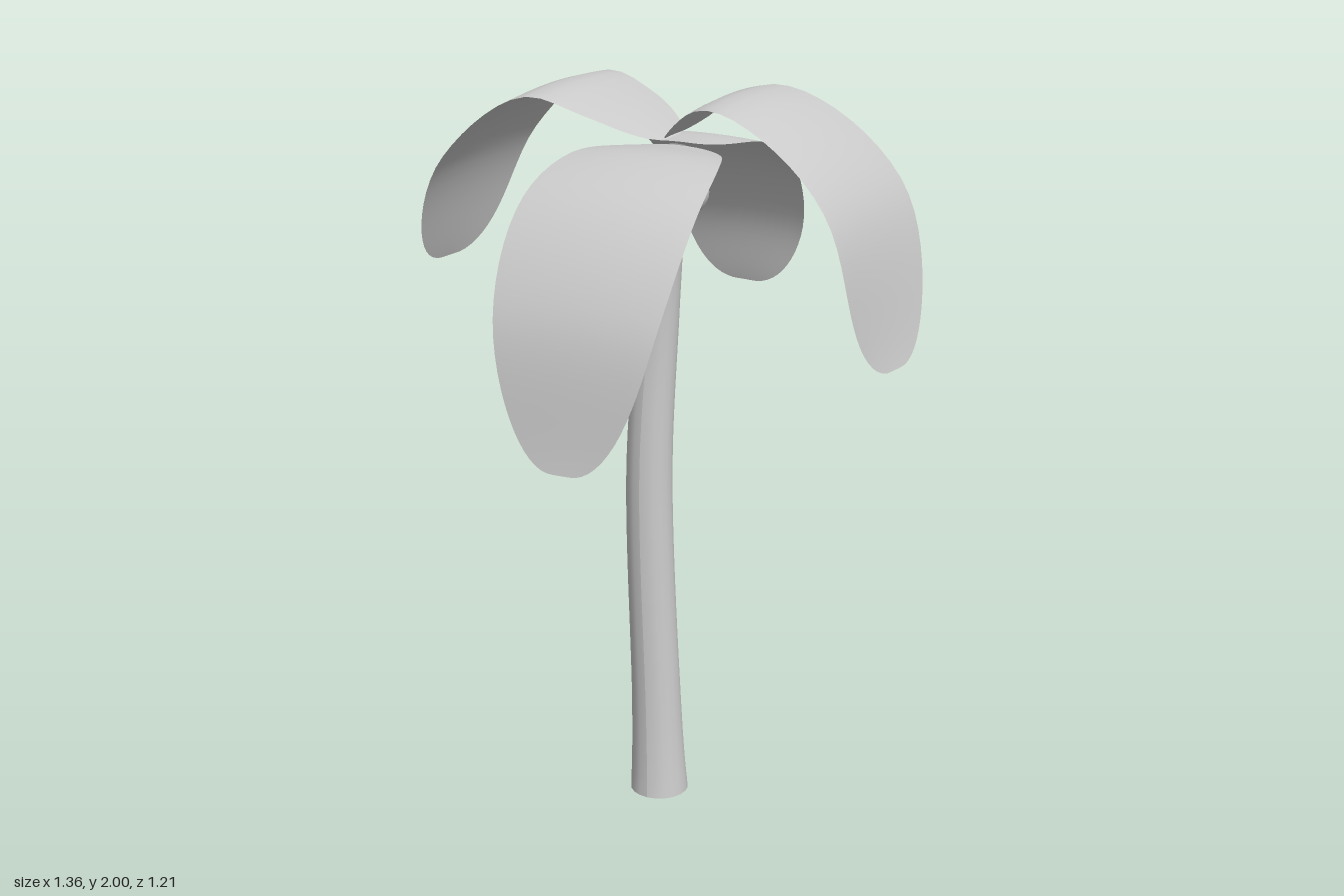
import * as THREE from 'three';

const material = new THREE.MeshStandardMaterial({ color: 0xcccccc, side: THREE.DoubleSide });
const spline = (points) => new THREE.CatmullRomCurve3(points.map(([x, y, z = 0]) => new THREE.Vector3(x, y, z)));

function addMesh(parent, name, geometry) {
  const mesh = new THREE.Mesh(geometry, material);
  mesh.name = name;
  parent.add(mesh);
  return mesh;
}

// Move every vertex of a geometry by a rule of its uv coordinates
function shapeByUv(geometry, rule) {
  const { position, uv } = geometry.attributes;
  for (let i = 0; i < position.count; i++) {
    position.setXYZ(i, ...rule(uv.getX(i), uv.getY(i)));
  }
  geometry.computeVertexNormals();
  return geometry;
}

// Leaning trunk: slim at the crown, flared at the foot, open below
function trunkGeometry() {
  const centre = spline([
    [-0.03, 0, -0.08], [-0.04, 0.25, -0.083], [-0.063, 0.95, -0.085],
    [-0.042, 1.38, -0.097], [0.012, 1.84, -0.075],
  ]);
  return shapeByUv(new THREE.CylinderGeometry(1, 1, 1, 20, 30, true), (u, v) => {
    const p = centre.getPointAt(v);
    const r = 0.065 - 0.03 * v ** 4 + 0.016 * Math.exp(-9 * v);
    const a = u * Math.PI * 2;
    return [p.x + r * Math.sin(a), p.y, p.z + r * Math.cos(a)];
  });
}

// Each leaf: midrib as [distance outward, height], half width, side offset at
// root and tip, roundness of the outline, bias of the widest point and a slant
// of the hanging end. place turns (outward, height, side) into x, y, z.
const leaves = [
  {
    name: 'leftLeaf', half: 0.23, root: -0.03, tip: 0.04, round: 2.6, bias: 1, slant: -0.18,
    midrib: [[0.03, 1.88], [0.2, 2], [0.36, 1.965], [0.57, 1.78], [0.675, 1.365]],
    place: (o, y, s) => [o, y, s],
  },
  {
    name: 'rightLeaf', half: 0.23, root: -0.06, tip: -0.1, round: 2.8, bias: 1, slant: 0.14,
    midrib: [[-0.02, 1.87], [0.14, 1.95], [0.3, 1.99], [0.54, 1.81], [0.69, 1.475]],
    place: (o, y, s) => [-o, y, s],
  },
  {
    name: 'frontLeaf', half: 0.235, root: 0.035, tip: 0.035, round: 2, bias: 0.85, slant: 0,
    midrib: [[-0.05, 1.85], [0.15, 1.86], [0.36, 1.775], [0.53, 1.55], [0.608, 1.175]],
    place: (o, y, s) => [s, y, o],
  },
  {
    name: 'backLeaf', half: 0.205, root: 0.015, tip: -0.005, round: 2.6, bias: 1, slant: -0.16,
    midrib: [[0.09, 1.85], [0.25, 1.845], [0.43, 1.745], [0.545, 1.57], [0.588, 1.365]],
    place: (o, y, s) => [s, y, -o],
  },
];

function leafGeometry({ midrib, half, root, tip, round, bias, slant, place }) {
  const path = spline(midrib);
  return shapeByUv(new THREE.PlaneGeometry(1, 1, 10, 36), (u, v) => {
    // Rows crowd towards both ends to keep them round
    const t = 0.5 - 0.5 * Math.cos(v * Math.PI);
    const p = path.getPointAt(t);
    const fullness = Math.sqrt(Math.max(0, 1 - Math.abs(2 * t ** bias - 1) ** round));
    const across = 2 * u - 1;
    const side = root + (tip - root) * t + across * (0.02 + (half - 0.02) * fullness);
    // Side edges sag a little below the midrib
    const sag = 0.012 * across ** 2 * fullness;
    return place(p.x + slant * side * t * t, p.y - sag, side);
  });
}

export function createModel() {
  const tree = new THREE.Group();
  tree.name = 'palmTree';

  addMesh(tree, 'trunk', trunkGeometry());
  for (const leaf of leaves) addMesh(tree, leaf.name, leafGeometry(leaf));

  // Two coconuts under the crown
  [[-0.02, 1.73, 0.065], [0.08, 1.745, 0]].forEach((p, i) => {
    addMesh(tree, `coconut${i + 1}`, new THREE.SphereGeometry(0.06, 20, 14)).position.set(...p);
  });

  return tree;
}
